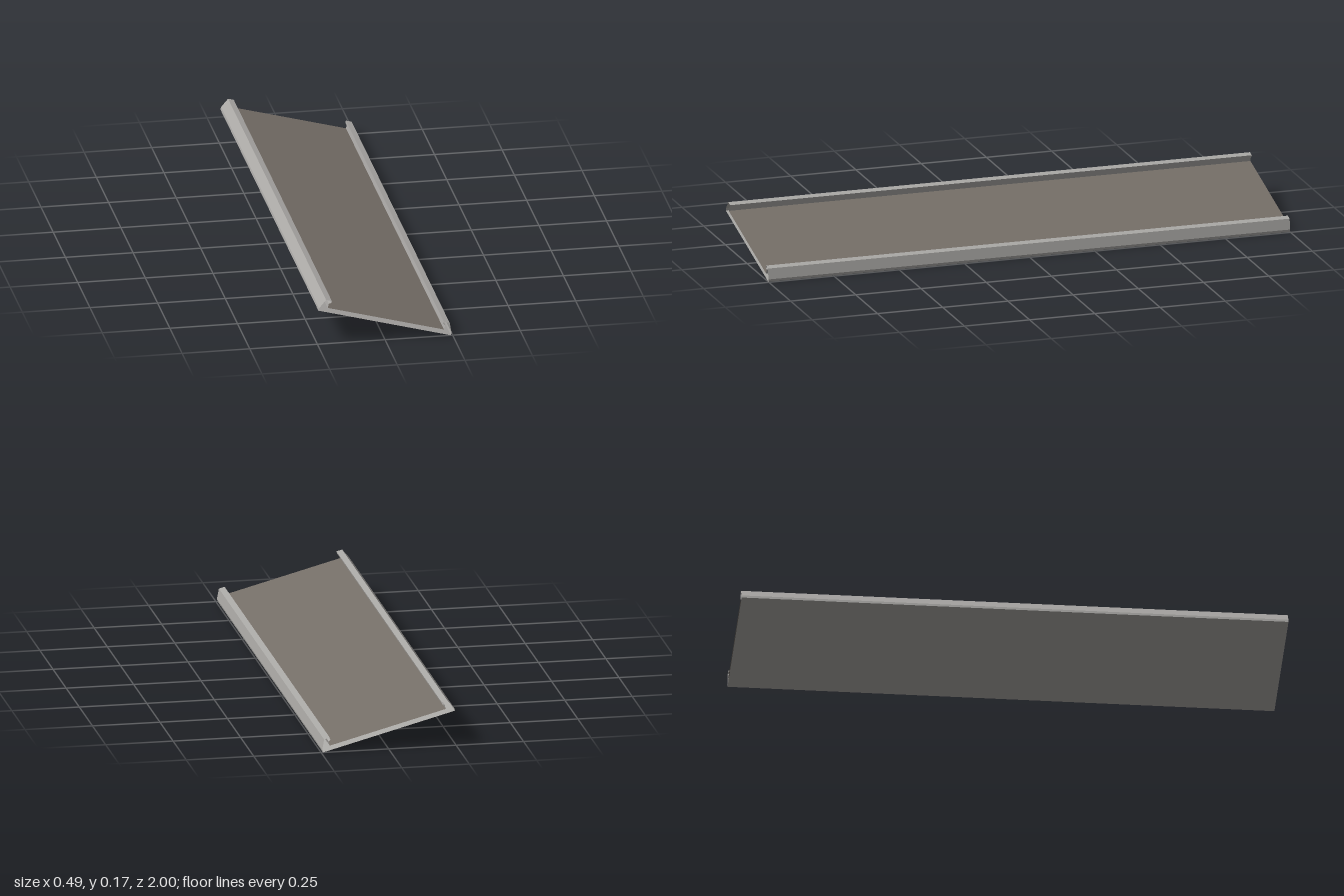
import * as THREE from 'three';

const HALF_WIDTH = 0.2535;
const HALF_LENGTH = 1;
const TILT = THREE.MathUtils.degToRad(15);

// Flat-shaded open sheet: a cross-section polyline swept along z
function sweep(points) {
  const pos = [];
  for (let i = 0; i < points.length - 1; i++) {
    const [ax, ay] = points[i];
    const [bx, by] = points[i + 1];
    const a0 = [ax, ay, -HALF_LENGTH], a1 = [ax, ay, HALF_LENGTH];
    const b0 = [bx, by, -HALF_LENGTH], b1 = [bx, by, HALF_LENGTH];
    pos.push(...a0, ...b0, ...b1, ...a0, ...b1, ...a1);
  }
  const geo = new THREE.BufferGeometry();
  geo.setAttribute('position', new THREE.Float32BufferAttribute(pos, 3));
  geo.computeVertexNormals();
  return geo;
}

export function createModel() {
  const metal = new THREE.MeshStandardMaterial({ color: 0xaaa8a5, side: THREE.DoubleSide });
  metal.name = 'light grey metal';
  const brown = new THREE.MeshStandardMaterial({ color: 0x766f68, side: THREE.DoubleSide });
  brown.name = 'brown floor';

  const tray = new THREE.Group();
  tray.name = 'tiltedTray';
  const add = (name, points, material) => {
    const mesh = new THREE.Mesh(sweep(points), material);
    mesh.name = name;
    tray.add(mesh);
  };

  // Rail section as [inset from outer edge, height]: wall, slope, top, lip, neck
  const rail = [
    [0, 0], [0, 0.01], [0.017, 0.046], [0.039, 0.046],
    [0.039, 0.038], [0.031, 0.034], [0.031, 0.017],
  ];
  const leftRail = rail.map(([inset, h]) => [HALF_WIDTH - inset, h]);
  const rightRail = leftRail.map(([x, y]) => [-x, y]).reverse();
  add('leftRail', leftRail, metal);
  add('rightRail', rightRail, metal);

  // Floor panel between the rails, and the underside sheet
  const floorHalf = HALF_WIDTH - 0.031;
  add('floorPanel', [[floorHalf, 0.017], [-floorHalf, 0.017]], brown);
  add('undersideSheet', [[-HALF_WIDTH, 0], [HALF_WIDTH, 0]], metal);

  // Lean the tray sideways, centre it and rest it on the ground
  tray.rotation.z = -TILT;
  const model = new THREE.Group();
  model.name = 'slopedChannel';
  model.add(tray);
  model.updateMatrixWorld(true);
  const box = new THREE.Box3().setFromObject(model, true);
  tray.position.set(-(box.min.x + box.max.x) / 2, -box.min.y, 0);
  return model;
}
